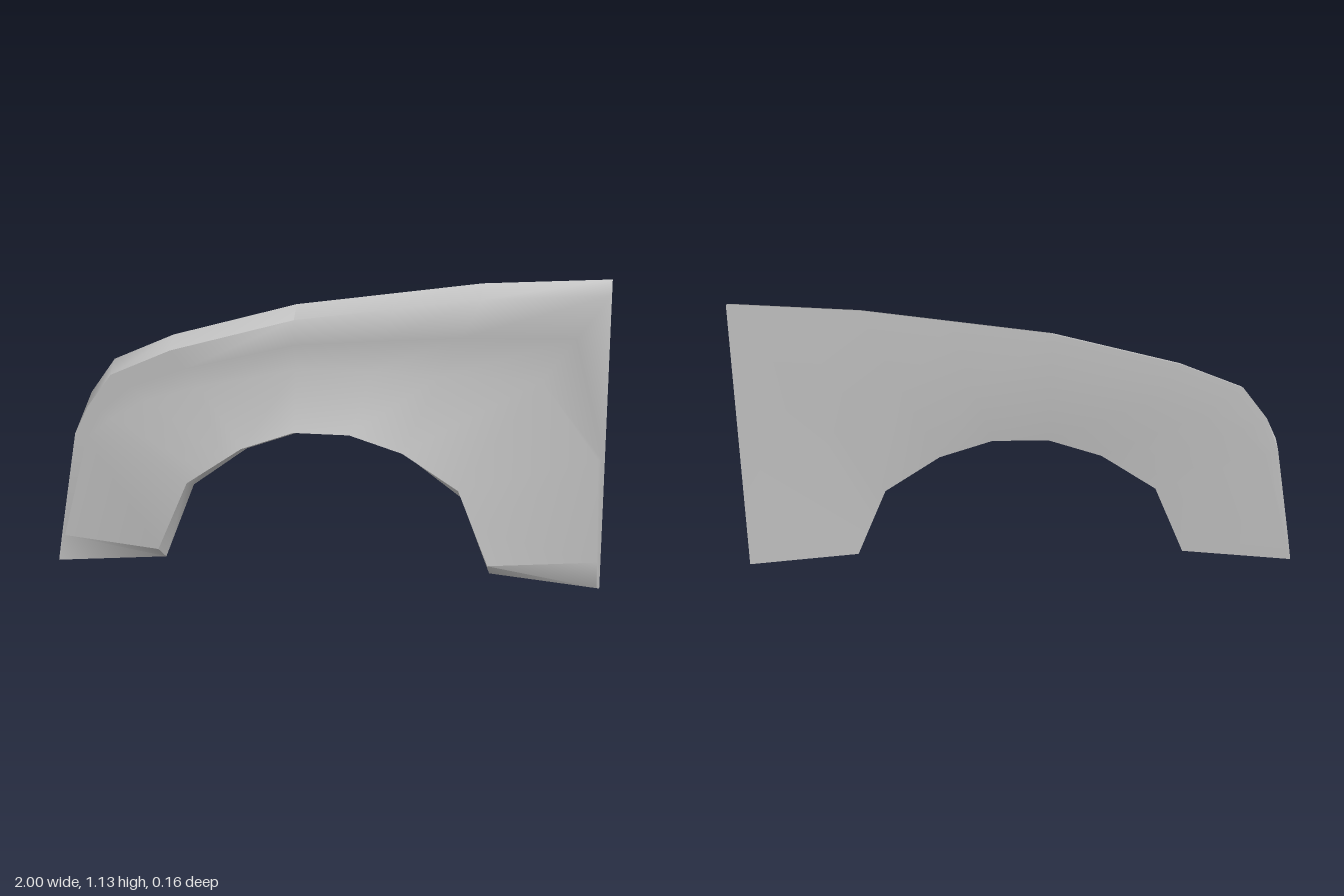
import * as THREE from 'three';
import { toCreasedNormals } from 'three/addons/utils/BufferGeometryUtils.js';

const FRONT = -0.01, BACK = -0.08, LIP = 0.08, LIP_BACK = -0.05;

// Stations around the wheel arch, from the left-hand foot of the picture plane (-x) to the other:
// lip x, lip y, back lip y, outer x, outer y, drop of the front edge, share taken by the flare
const STATIONS = [
  [-0.6, 0.1, 0.02, -0.985, 0.1, 0, 0.97],
  [-0.49, 0.36, 0.31, -0.92, 0.5, 0, 0.9],
  [-0.423, 0.407, 0.36, -0.87, 0.64, 0.035, 0.8],
  [-0.357, 0.453, 0.41, -0.78, 0.77, 0.04, 0.68],
  [-0.29, 0.5, 0.46, -0.56, 0.87, 0.04, 0.6],
  [-0.1, 0.57, 0.53, -0.11, 1.0, 0.04, 0.53],
  [0.1, 0.57, 0.53, 0.24, 1.053, 0.04, 0.47],
  [0.29, 0.51, 0.46, 0.55, 1.1, 0.04, 0.48],
  [0.49, 0.38, 0.31, 1, 1.13, 0.04, 0.55],
  [0.545, 0.24, 0.165, 1, 0.5, 0, 0.95],
  [0.6, 0.1, 0.02, 1, 0.1, 0, 0.97],
];

const mix = (a, b, t) => a.map((v, i) => v + (b[i] - v) * t);

// Closed cross-section: lip, flare, flat panel, rolled outer edge, back face
function section([lx, ly, by, ox, oy, drop, t]) {
  const backLip = [lx, by, LIP_BACK], frontLip = [lx, ly, LIP];
  const frontOuter = [ox, oy - drop, FRONT], backOuter = [ox, oy, BACK];
  const flare = mix(frontLip, frontOuter, t);
  flare[2] = FRONT;
  const backFlare = mix(backLip, backOuter, t);
  backFlare[2] = BACK;
  return [backLip, frontLip, flare, mix(flare, frontOuter, 0.5), frontOuter, backOuter, backFlare];
}

// Foot section: the lip tapers back to a point so the bottom is chamfered
function foot(side) {
  const lip = [0.6 * side, 0.02, LIP_BACK];
  const front = [side, 0, FRONT], back = [side, 0, BACK];
  return [lip, lip, mix(lip, front, 0.97), mix(lip, front, 0.985), front, back, mix(lip, back, 0.97)];
}

function loft(sections) {
  const n = sections[0].length, positions = [];
  const tri = (...pts) => pts.forEach((p) => positions.push(...p));
  for (let j = 0; j < sections.length - 1; j++) {
    const a = sections[j], b = sections[j + 1];
    for (let i = 0; i < n; i++) {
      const k = (i + 1) % n;
      tri(a[i], b[i], b[k]);
      tri(a[i], b[k], a[k]);
    }
  }
  // Undersides of both feet
  const first = sections[0], last = sections[sections.length - 1];
  tri(first[0], first[4], first[5]);
  tri(last[0], last[5], last[4]);
  const geometry = new THREE.BufferGeometry();
  geometry.setAttribute('position', new THREE.Float32BufferAttribute(positions, 3));
  return toCreasedNormals(geometry, THREE.MathUtils.degToRad(61));
}

export function createModel() {
  const model = new THREE.Group();
  model.name = 'fender';
  const material = new THREE.MeshStandardMaterial({ color: 0xcccccc });
  const panel = new THREE.Mesh(loft([foot(-1), ...STATIONS.map(section), foot(1)]), material);
  panel.name = 'fenderPanel';
  model.add(panel);
  return model;
}
